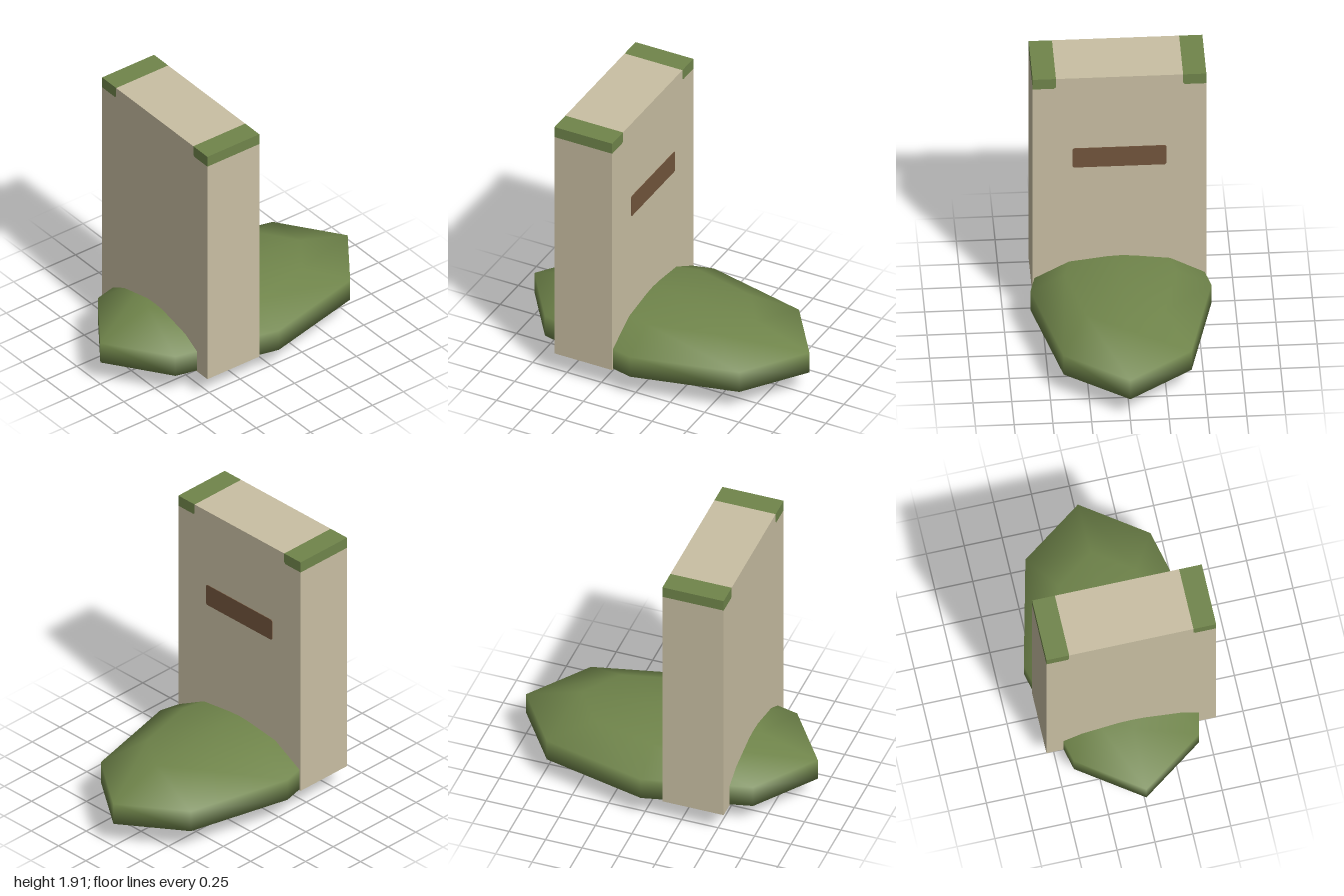
import * as THREE from 'three';

const stone = new THREE.MeshStandardMaterial({ name: 'stone', color: 0xc9bfa3 });
const moss = new THREE.MeshStandardMaterial({ name: 'moss green', color: 0x70854b });
const bronze = new THREE.MeshStandardMaterial({ name: 'plaque brown', color: 0x72553c });

const BACK = -0.56, FRONT = -0.14; // slab faces along x
const HALF = 0.56, BASE = 0.165, TOP = 1.912; // slab outline in z and y
const CAP_IN = 0.41, CAP_LOW = 1.835, CUT = 0.012; // mossy corners

// Extrudes a (z, y) outline along x between two planes
function plate(name, points, x0, x1, material) {
  const shape = new THREE.Shape(points.map(([z, y]) => new THREE.Vector2(-z, y)));
  const geometry = new THREE.ExtrudeGeometry(shape, { depth: x1 - x0, bevelEnabled: false });
  geometry.rotateY(Math.PI / 2).translate(x0, 0, 0);
  const mesh = new THREE.Mesh(geometry, material);
  mesh.name = name;
  return mesh;
}

export function createModel() {
  const model = new THREE.Group();
  model.name = 'gravestone';

  // Low-poly earth mound, widest ring one unit from the centre
  const ring = Math.sin(Math.PI * 0.4);
  const mound = new THREE.Mesh(
    new THREE.SphereGeometry(1, 8, 5).scale(1 / ring, 0.245, 0.583 / ring), moss);
  mound.name = 'mound';
  mound.position.y = 0.247;
  model.add(mound);

  // Upright slab, notched at both upper corners
  const notch = [[CAP_IN, TOP], [CAP_IN, CAP_LOW + CUT], [CAP_IN + CUT, CAP_LOW], [HALF, CAP_LOW]];
  const side = [...notch, [HALF, BASE]];
  const mirrored = side.map(([z, y]) => [-z, y]).reverse();
  model.add(plate('slab', [...side, ...mirrored], BACK, FRONT, stone));

  // Mossy corners filling the notches
  for (const s of [1, -1]) {
    const corner = [...notch, [HALF, TOP]].map(([z, y]) => [s * z, y]);
    model.add(plate(s > 0 ? 'frontMossCorner' : 'backMossCorner', corner, BACK, FRONT, moss));
  }

  // Thin plaque with clipped corners
  const w = 0.303, low = 1.2, high = 1.352, c = 0.01;
  const outline = [
    [-w + c, low], [w - c, low], [w, low + c], [w, high - c],
    [w - c, high], [-w + c, high], [-w, high - c], [-w, low + c],
  ];
  model.add(plate('plaque', outline, FRONT, FRONT + 0.004, bronze));

  return model;
}
